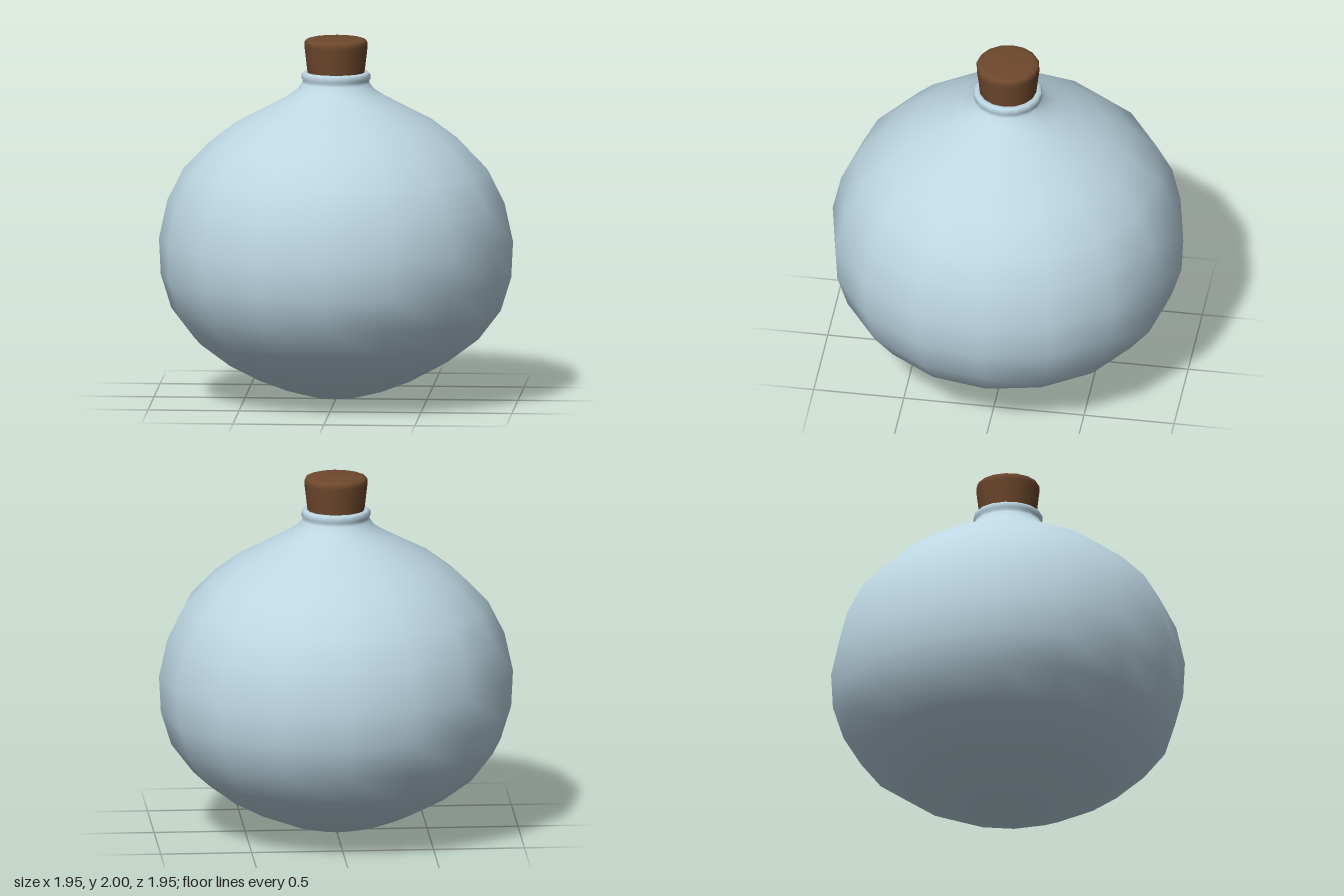
import * as THREE from 'three';

const SIDES = 16;

// Revolve a [radius, height] profile, listed from bottom to top
function turned(name, profile, color) {
  const points = profile.map(([r, y]) => new THREE.Vector2(r, y));
  const mesh = new THREE.Mesh(
    new THREE.LatheGeometry(points, SIDES),
    new THREE.MeshStandardMaterial({ color, side: THREE.DoubleSide })
  );
  mesh.name = name;
  return mesh;
}

export function createModel() {
  const model = new THREE.Group();
  model.name = 'corkedFlask';

  // Round body, pinched shoulder and rolled lip, turning in to the mouth
  model.add(turned('bottle', [
    [0, 0], [0.13, 0.015], [0.28, 0.055], [0.445, 0.12], [0.615, 0.21],
    [0.783, 0.336], [0.905, 0.495], [0.963, 0.68], [0.973, 0.88],
    [0.926, 1.093], [0.836, 1.273], [0.698, 1.415], [0.55, 1.527],
    [0.397, 1.606], [0.27, 1.675], [0.215, 1.712], [0.187, 1.75],
    [0.182, 1.764], [0.19, 1.775], [0.19, 1.797], [0.182, 1.808],
    [0.165, 1.812], [0.15, 1.805], [0.14, 1.77],
  ], 0xbcd6e2));

  // Tapered cork with a softened top rim
  model.add(turned('cork', [
    [0, 1.75], [0.14, 1.75], [0.148, 1.765], [0.157, 1.81], [0.174, 1.955],
    [0.174, 1.975], [0.166, 1.988], [0.145, 1.995], [0, 2],
  ], 0x6e482d));

  return model;
}
